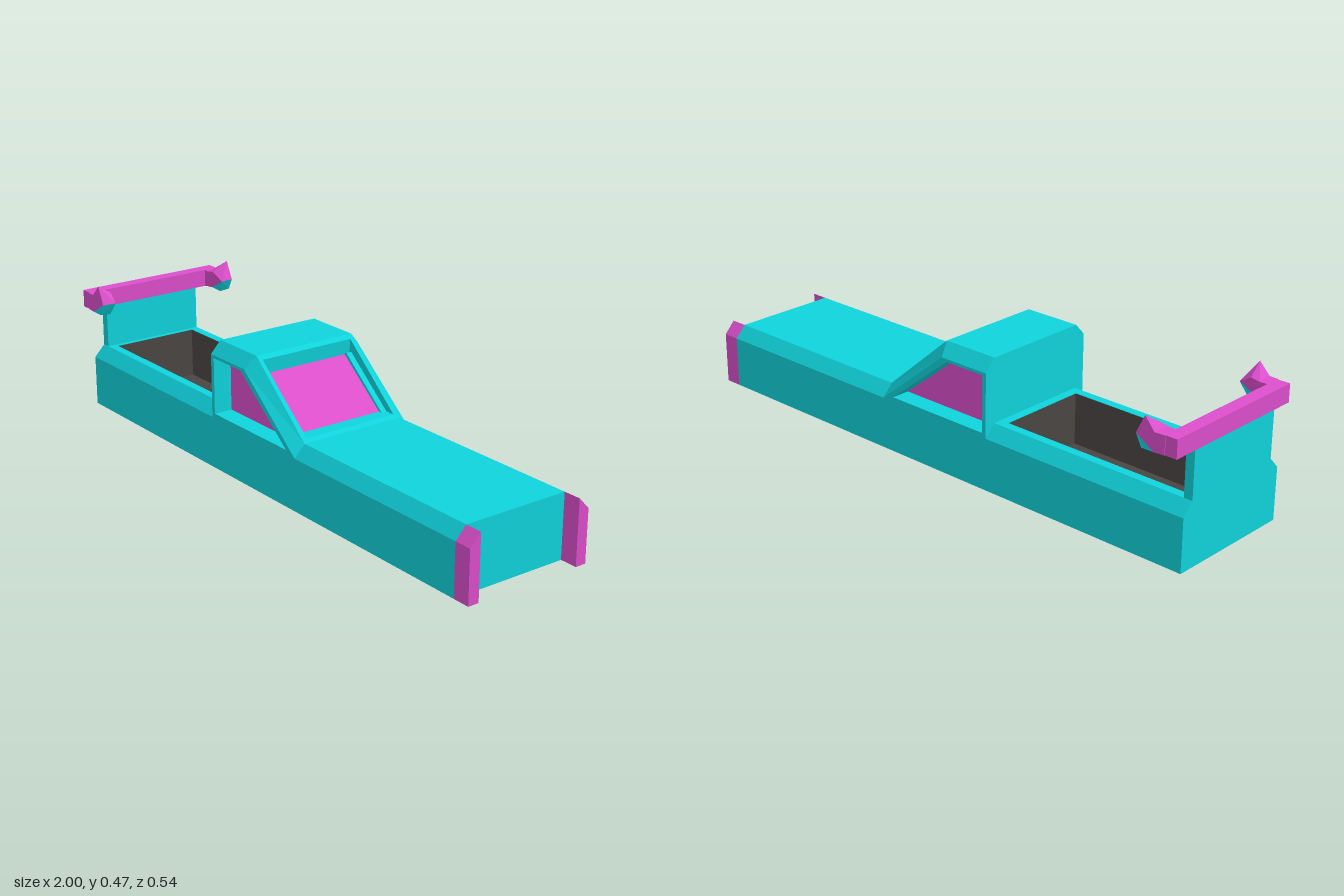
import * as THREE from 'three';
import { ConvexGeometry } from 'three/addons/geometries/ConvexGeometry.js';

const mat = (color) => new THREE.MeshStandardMaterial({ color, flatShading: true, side: THREE.DoubleSide });

export function createModel() {
  const model = new THREE.Group();
  const hull = new THREE.Group(); // body sits a touch off centre in z
  hull.name = 'vehicleBody';
  hull.position.z = 0.005;
  model.add(hull);
  const teal = mat(0x10d4dc), pink = mat(0xdd4fcc), dark = mat(0x4a4644);

  const W = 0.225, T = 0.187; // half widths: flank, and deck inside the chamfer

  function add(parent, name, geometry, material) {
    const mesh = new THREE.Mesh(geometry, material);
    mesh.name = name;
    parent.add(mesh);
    return mesh;
  }

  function box(name, x0, x1, y0, y1, z0, z1, material) {
    const g = new THREE.BoxGeometry(x1 - x0, y1 - y0, z1 - z0);
    g.translate((x0 + x1) / 2, (y0 + y1) / 2, (z0 + z1) / 2);
    return add(hull, name, g, material);
  }

  // Extrudes a [z, y] section along x
  function section(name, pts, x0, x1, material) {
    const shape = new THREE.Shape(pts.map(([z, y]) => new THREE.Vector2(-z, y)));
    const g = new THREE.ExtrudeGeometry(shape, { depth: x1 - x0, bevelEnabled: false });
    g.rotateY(Math.PI / 2).translate(x0, 0, 0);
    return add(hull, name, g, material);
  }

  // Flat polygon as a fan
  function fan(name, loop, material) {
    const v = [];
    for (let i = 1; i < loop.length - 1; i++) v.push(...loop[0], ...loop[i], ...loop[i + 1]);
    return surface(name, v, material);
  }

  // Band of quads joining two loops of equal length
  function band(name, a, b, material, closed = true) {
    const v = [], n = a.length;
    for (let i = 0; i < (closed ? n : n - 1); i++) {
      const j = (i + 1) % n;
      v.push(...a[i], ...a[j], ...b[j], ...a[i], ...b[j], ...b[i]);
    }
    return surface(name, v, material);
  }

  function surface(name, v, material) {
    const g = new THREE.BufferGeometry();
    g.setAttribute('position', new THREE.Float32BufferAttribute(v, 3));
    g.computeVertexNormals();
    return add(hull, name, g, material);
  }

  // Lower body
  const full = [[-W, 0], [W, 0], [W, 0.175], [T, 0.215], [-T, 0.215], [-W, 0.175]];
  section('hood', full, 0.2, 0.94, teal);
  box('cabinBase', -0.25, 0.2, 0, 0.175, -W, W, teal);
  section('bedFrontWall', full, -0.28, -0.25, teal);
  section('bedRearWall', full, -1, -0.955, teal);
  box('tailPanel', -1, -0.97, 0.2, 0.37, -T, T, teal);

  // Cargo bed: rails, underside and dark lining
  box('bedUnderside', -0.955, -0.28, 0, 0.03, -W, W, teal);
  const B = 0.157;
  box('bedFloor', -0.955, -0.28, 0.03, 0.04, -B, B, dark);
  for (const x of [-0.954, -0.281])
    fan('bedEndLining', [[x, 0.04, -B], [x, 0.04, B], [x, 0.214, B], [x, 0.214, -B]], dark);
  for (const s of [1, -1]) {
    section('bedRail', [[s * B, 0], [s * W, 0], [s * W, 0.175], [s * T, 0.215], [s * B, 0.215]], -0.955, -0.28, teal);
    const z = s * (B - 0.001);
    fan('bedSideLining', [[-0.955, 0.04, z], [-0.28, 0.04, z], [-0.28, 0.214, z], [-0.955, 0.214, z]], dark);
    // Front corner bumpers
    section('cornerBumper', [[s * T, 0], [s * W, 0], [s * W, 0.175], [s * T, 0.215]], 0.94, 1, pink);
  }

  // Cabin shell
  fan('cabinBack', [[-0.25, 0.175, -W], [-0.25, 0.175, W], [-0.25, 0.39, W],
    [-0.25, 0.43, T], [-0.25, 0.43, -T], [-0.25, 0.39, -W]], teal);
  fan('roof', [[-0.25, 0.43, -T], [-0.25, 0.43, T], [-0.05, 0.43, T], [-0.05, 0.43, -T]], teal);
  const at = (pts, z) => pts.map(([x, y]) => [x, y, z]);
  const sideOuter = [[-0.25, 0.175], [-0.25, 0.39], [-0.065, 0.39], [0.2, 0.175]];
  const sideHole = [[-0.235, 0.19], [-0.235, 0.38], [-0.085, 0.38], [0.155, 0.19]];
  for (const s of [1, -1]) {
    band('cabinChamfer', at(sideOuter.slice(1), s * W),
      at([[-0.25, 0.43], [-0.05, 0.43], [0.2, 0.215]], s * T), teal, false);
    band('sideWindowFrame', at(sideOuter, s * W), at(sideHole, s * W), teal);
    band('sideWindowReveal', at(sideHole, s * W), at(sideHole, s * 0.16), teal);
    fan('sideWindow', at(sideHole, s * 0.16), pink);
  }

  // Windshield set back into the sloping front
  const rect = (xTop, yTop, xLow, yLow, h) =>
    [[xTop, yTop, h], [xTop, yTop, -h], [xLow, yLow, -h], [xLow, yLow, h]];
  const hole = rect(-0.036, 0.418, 0.188, 0.225, 0.173);
  const pane = rect(-0.04, 0.369, 0.14, 0.225, 0.173);
  band('windshieldFrame', rect(-0.05, 0.43, 0.2, 0.215, T), hole, teal);
  band('windshieldReveal', hole, pane, teal);
  fan('windshield', pane, pink);
  for (const s of [1, -1]) {
    const ledge = [[-0.03, 0.375, s * 0.173], [0.153, 0.225, s * 0.173], [0.153, 0.225, s * 0.153], [-0.03, 0.375, s * 0.153]];
    fan('windshieldLedge', ledge, teal);
    band('windshieldLedgeEdge', ledge, ledge.map(([x, y, z]) => [x - 0.013, y - 0.003, z]), teal);
  }

  // Rear wing with upturned end flaps
  const wing = new THREE.Group();
  wing.name = 'rearWing';
  model.add(wing);
  const bar = new THREE.BoxGeometry(0.045, 0.06, 0.53);
  bar.translate(-0.9775, 0.4, 0);
  add(wing, 'wingBar', bar, pink);
  const solid = (pts, s) => new ConvexGeometry(pts.map(([x, y, z]) => new THREE.Vector3(x, y, z * s)));
  for (const s of [1, -1]) {
    const root = [[-0.96, 0.37, 0.215], [-0.96, 0.37, 0.267], [-0.96, 0.43, 0.267], [-0.96, 0.43, 0.215]];
    const bend = [[-0.925, 0.37, 0.225], [-0.925, 0.37, 0.27], [-0.925, 0.43, 0.27], [-0.93, 0.43, 0.213]];
    const tip = [[-0.855, 0.408, 0.222], [-0.86, 0.408, 0.268], [-0.89, 0.469, 0.268], [-0.9, 0.435, 0.213]];
    add(wing, 'flapRoot', solid([...root, ...bend], s), pink);
    add(wing, 'flapTip', solid([...bend, ...tip], s), pink);
    add(wing, 'flapUnderside', solid([bend[0], bend[1], tip[0], tip[1],
      [-0.88, 0.365, 0.23], [-0.88, 0.368, 0.268]], s), teal);
  }
  return model;
}
